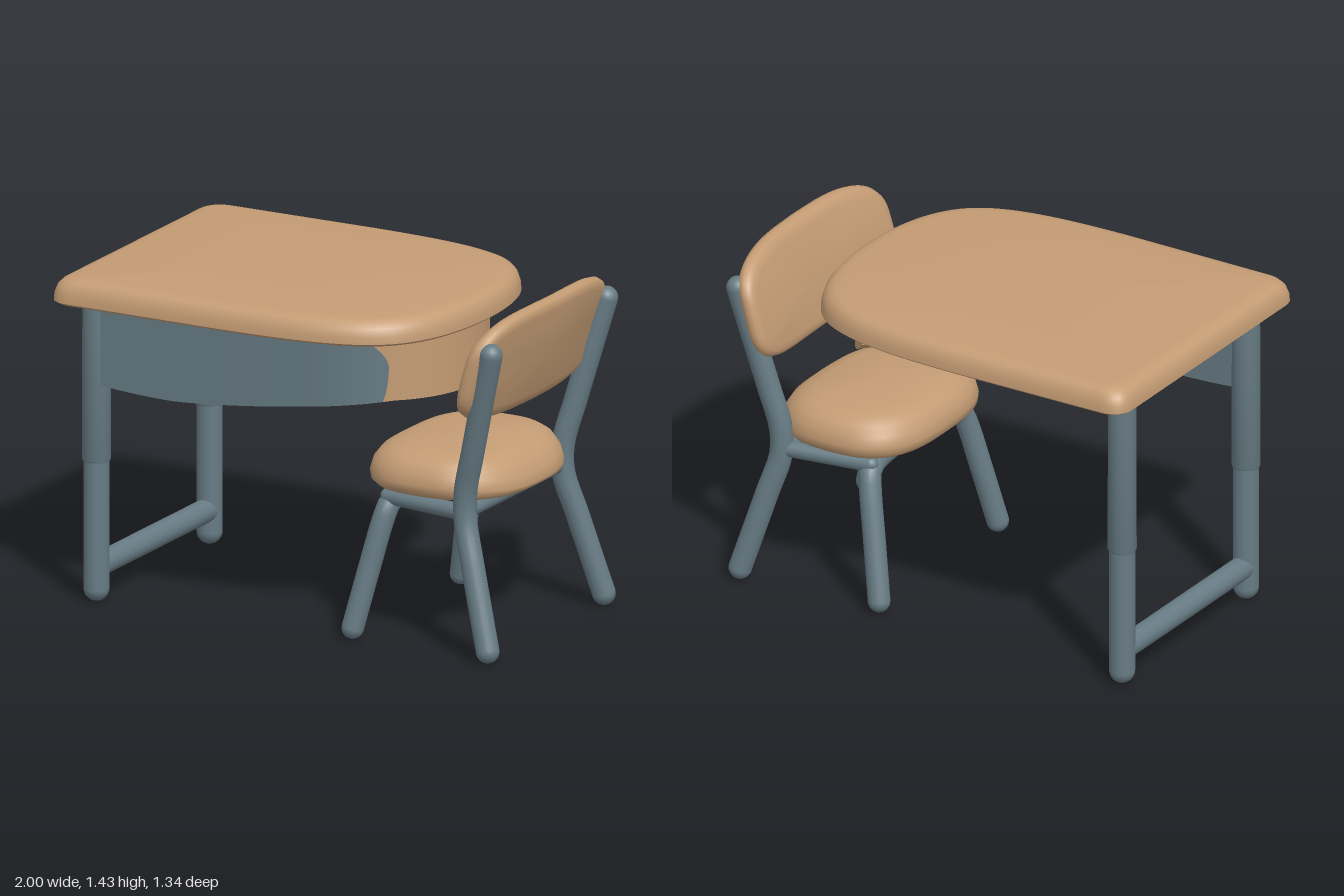
import * as THREE from 'three';
import { toCreasedNormals } from 'three/addons/utils/BufferGeometryUtils.js';

const wood = new THREE.MeshStandardMaterial({ color: 0xc49c74 });
wood.name = 'wood';
const slate = new THREE.MeshStandardMaterial({ color: 0x677b84 });
slate.name = 'slateMetal';

function addMesh(parent, name, geometry, material) {
  const mesh = new THREE.Mesh(geometry, material);
  mesh.name = name;
  parent.add(mesh);
  return mesh;
}

// Cushion-like solid: one outline in x/z, scaled ring by ring ([inset, y], bottom to top), then warped
function pad(outline, hx, hz, rings, warp) {
  const n = outline.length, pos = [], index = [];
  for (const [inset, y] of rings) {
    for (const p of outline) {
      const v = new THREE.Vector3(p.x * (1 - inset / hx), y, p.y * (1 - inset / hz));
      if (inset === null) v.set(0, y, 0);
      warp(v);
      pos.push(v.x, v.y, v.z);
    }
  }
  for (let j = 0; j < rings.length - 1; j++) {
    for (let i = 0; i < n; i++) {
      const a = j * n + i, b = j * n + (i + 1) % n, c = a + n, d = b + n;
      index.push(a, c, b, b, c, d);
    }
  }
  const g = new THREE.BufferGeometry();
  g.setAttribute('position', new THREE.Float32BufferAttribute(pos, 3));
  g.setIndex(index);
  return toCreasedNormals(g, 0.8);
}

function superellipse(hx, hz, power, n = 72) {
  const f = (c) => Math.sign(c) * Math.pow(Math.abs(c), 2 / power);
  return Array.from({ length: n }, (_, i) => {
    const t = (i / n) * Math.PI * 2;
    return new THREE.Vector2(hx * f(Math.cos(t)), hz * f(Math.sin(t)));
  });
}

// Round bar along a smooth path with ball ends
function bar(parent, name, points, r) {
  const group = new THREE.Group();
  group.name = name;
  const pts = points.map((p) => new THREE.Vector3(...p));
  const curve = new THREE.CatmullRomCurve3(pts, false, 'centripetal');
  addMesh(group, name + 'Tube', new THREE.TubeGeometry(curve, pts.length > 2 ? 40 : 1, r, 20), slate);
  for (const p of [pts[0], pts[pts.length - 1]]) {
    addMesh(group, name + 'End', new THREE.SphereGeometry(r, 20, 12), slate).position.copy(p);
  }
  parent.add(group);
}

function tableTop() {
  const s = new THREE.Shape();
  s.moveTo(0.67, 0);
  s.bezierCurveTo(0.67, 0.2, 0.63, 0.42, 0.5, 0.53);
  s.bezierCurveTo(0.36, 0.65, 0.1, 0.665, -0.2, 0.67);
  s.lineTo(-0.9, 0.665);
  s.quadraticCurveTo(-1, 0.665, -1, 0.57);
  s.lineTo(-1, 0);
  const half = s.getPoints(16);
  const mirrored = half.slice(1, -1).reverse().map((p) => new THREE.Vector2(p.x, -p.y));
  const outline = half.concat(mirrored).map((p) => new THREE.Vector2(p.x + 0.165, p.y));
  const rings = [[null, 1.28], [0.012, 1.28], [0, 1.29], [0.002, 1.32], [0.012, 1.352],
    [0.028, 1.372], [0.05, 1.382], [0.08, 1.386], [null, 1.388]];
  return pad(outline, 0.835, 0.67, rings, (v) => { v.x -= 0.165; });
}

// Apron strip under the top: runs along the front, then hooks round the rounded end
const apronPath = new THREE.CatmullRomCurve3([
  [-0.83, 0.495], [-0.4, 0.5], [0, 0.495], [0.25, 0.475], [0.4, 0.425], [0.5, 0.345], [0.575, 0.22],
  [0.605, 0.08], [0.59, -0.08], [0.54, -0.19], [0.46, -0.265],
].map(([x, z]) => new THREE.Vector3(x, 0, z)), false, 'centripetal');

// Path position where the colours meet, which leans back near the top
function seam(v) {
  return 0.625 - 0.055 * Math.pow(Math.max(0, (v - 0.5) / 0.5), 2) - 0.012 * Math.pow(1 - v, 4);
}

function apronBottom(x, u) {
  const t = THREE.MathUtils.clamp((x + 0.5) / 0.95, 0, 1);
  const base = x < -0.5 ? 0.907 + 0.15 * Math.pow(x + 0.5, 2) : 0.907 + 0.113 * Math.pow(t, 1.35);
  return base + 0.06 * Math.pow(Math.max(0, (u - 0.94) / 0.06), 2);
}

function apron(from, to) {
  const g = new THREE.BoxGeometry(1, 1, 1, 48, 16, 1);
  const p = g.attributes.position;
  for (let i = 0; i < p.count; i++) {
    const v = p.getY(i) + 0.5;
    const u = THREE.MathUtils.clamp(THREE.MathUtils.lerp(from(v), to(v), p.getX(i) + 0.5), 0, 1);
    const c = apronPath.getPointAt(u), t = apronPath.getTangentAt(u);
    const off = p.getZ(i) * 0.05;
    const low = apronBottom(c.x, u);
    p.setXYZ(i, c.x - t.z * off, low + (1.285 - low) * v, c.z + t.x * off);
  }
  return toCreasedNormals(g, 0.7);
}

function createTable() {
  const table = new THREE.Group();
  table.name = 'table';
  addMesh(table, 'tableTop', tableTop(), wood);
  addMesh(table, 'apronPanel', apron(() => 0, seam), slate);
  addMesh(table, 'apronEnd', apron(seam, () => 1), wood);

  // Telescopic legs joined by a low stretcher
  const sleeve = [[0.05, 0.588], [0.056, 0.59], [0.059, 0.598], [0.057, 1.285]].map((p) => new THREE.Vector2(...p));
  for (const side of [1, -1]) {
    addMesh(table, 'tableLegSleeve', toCreasedNormals(new THREE.LatheGeometry(sleeve, 24), 0.7), slate)
      .position.set(-0.88, 0, side * 0.465);
    bar(table, 'tableLeg', [[-0.88, 0.053, side * 0.465], [-0.88, 0.65, side * 0.465]], 0.053);
  }
  bar(table, 'tableStretcher', [[-0.88, 0.145, -0.46], [-0.88, 0.145, 0.46]], 0.049);
  return table;
}

function createChair() {
  const chair = new THREE.Group();
  chair.name = 'chair';

  // Seat narrows and drops towards the back
  const seatRings = [[null, 0.615], [0.07, 0.615], [0.025, 0.628], [0.004, 0.65], [0, 0.68], [0.012, 0.725],
    [0.04, 0.762], [0.08, 0.785], [0.14, 0.797], [null, 0.801]];
  const seat = pad(superellipse(0.34, 0.42, 2.9), 0.34, 0.42, seatRings, (v) => {
    const back = Math.max(0, v.x / 0.34);
    v.z *= 1 - 0.14 * back * back;
    v.y -= 0.04 * back ** 3 * THREE.MathUtils.smoothstep(v.y, 0.61, 0.72);
    v.x += 0.58;
  });
  addMesh(chair, 'seat', seat, wood);

  // Backrest leans back and wraps forward at both ends
  const backRings = [[null, -0.04], [0.05, -0.04], [0.025, -0.035], [0.008, -0.022], [0, 0],
    [0.008, 0.022], [0.025, 0.035], [0.05, 0.04], [null, 0.04]];
  const backrest = pad(superellipse(0.23, 0.53, 4), 0.23, 0.53, backRings, (v) => {
    const h = v.x, wide = v.z / 0.53;
    v.set(0.907 + 0.27 * h - 0.045 * wide * wide - v.y, 1.2 + h - 0.03 * Math.max(0, h / 0.23) * wide ** 4, v.z);
  });
  addMesh(chair, 'backrest', backrest, wood);

  // Rear posts and side rails
  for (const s of [1, -1]) {
    bar(chair, 'rearPost', [[0.935, 0.05, s * 0.478], [0.84, 0.38, s * 0.43], [0.79, 0.56, s * 0.402],
      [0.79, 0.68, s * 0.402], [0.835, 0.86, s * 0.422], [0.948, 1.295, s * 0.475]], 0.048);
    bar(chair, 'sideRail', [[0.4, 0.592, s * 0.34], [0.78, 0.592, s * 0.4]], 0.034);
  }
  // Front legs and their crossbar are one bent tube
  const leg = [[0.293, 0.05, 0.445], [0.345, 0.3, 0.4], [0.388, 0.5, 0.362], [0.402, 0.56, 0.338], [0.41, 0.585, 0.28]];
  const mirrored = leg.map(([x, y, z]) => [x, y, -z]).reverse();
  bar(chair, 'frontLegFrame', leg.concat(mirrored), 0.046);
  bar(chair, 'rearCrossbar', [[0.78, 0.592, -0.39], [0.78, 0.592, 0.39]], 0.032);
  return chair;
}

export function createModel() {
  const model = new THREE.Group();
  model.name = 'deskAndChair';
  model.add(createTable(), createChair());
  return model;
}
